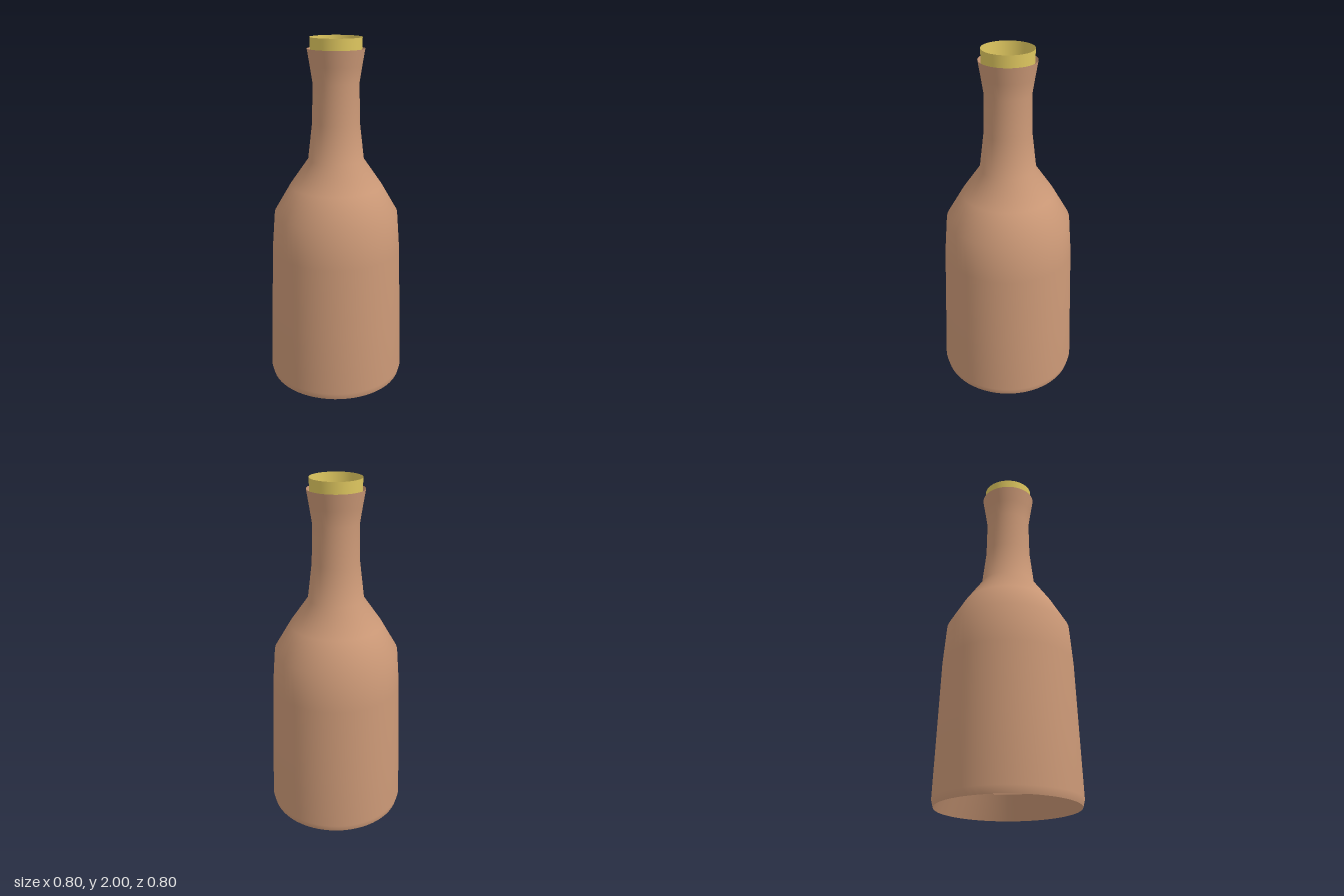
import * as THREE from 'three';

// Thin open shell revolved around the y axis
function shell(name, profile, color) {
  const points = profile.map(([r, y]) => new THREE.Vector2(r, y));
  const material = new THREE.MeshStandardMaterial({ color, side: THREE.DoubleSide });
  const mesh = new THREE.Mesh(new THREE.LatheGeometry(points, 64), material);
  mesh.name = name;
  return mesh;
}

export function createModel() {
  const group = new THREE.Group();
  group.name = 'bottle';
  const brown = 0xcc9977;
  const gold = 0xe0c860;

  // Body, shoulder and flared neck, from the foot up
  group.add(shell('bottleBody', [
    [0.39, 0], [0.4, 0.04], [0.387, 0.4], [0.373, 0.8], [0.355, 1.02],
    [0.262, 1.18], [0.158, 1.33], [0.133, 1.54], [0.129, 1.76],
    [0.143, 1.85], [0.158, 1.94],
  ], brown));

  // Inward-turned skirt under the foot, open in the middle
  group.add(shell('baseSkirt', [[0.328, 0.14], [0.39, 0]], brown));

  // Metal collar standing in the mouth
  group.add(shell('mouthCollar', [[0.138, 1.85], [0.143, 2]], gold));

  return group;
}
